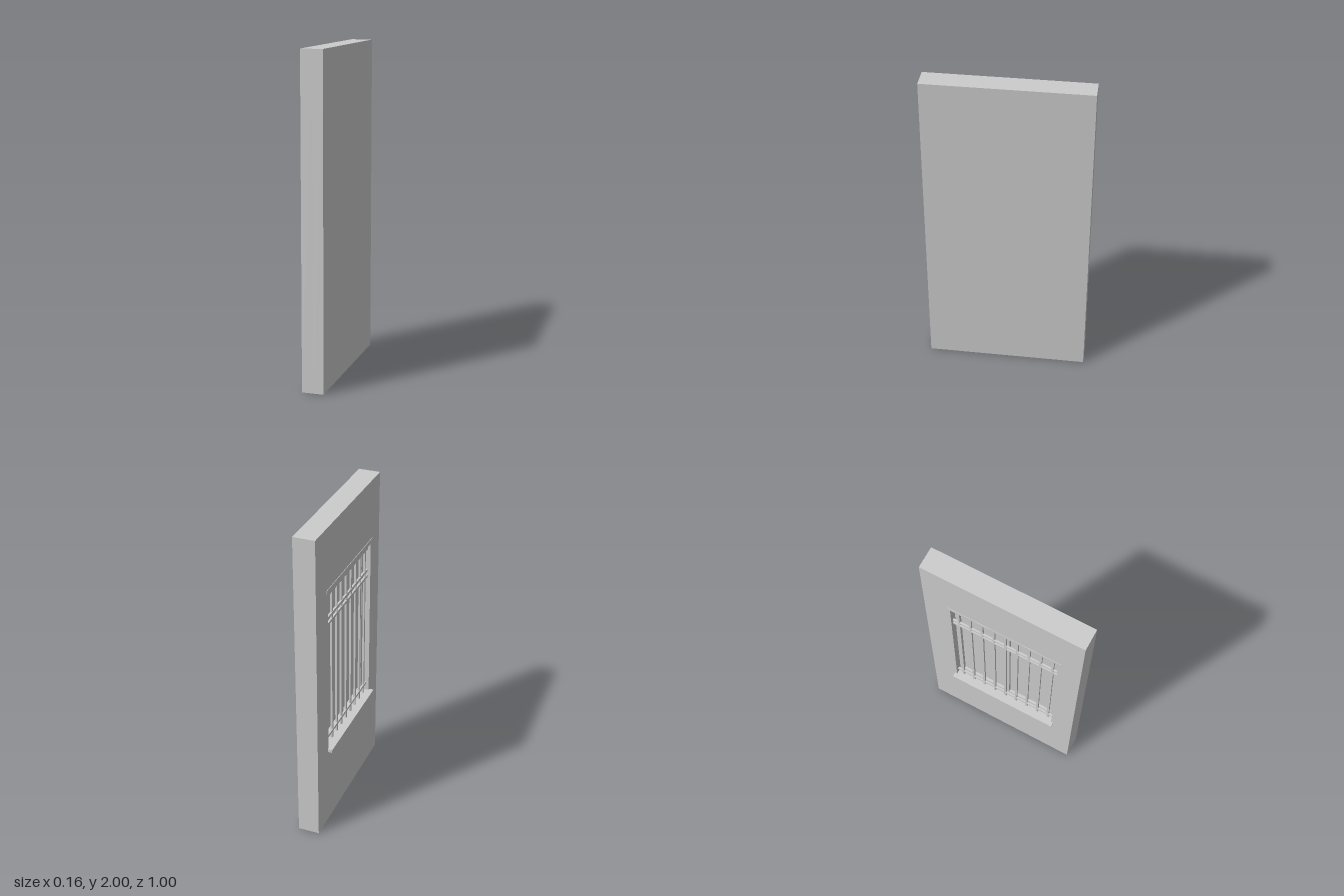
import * as THREE from 'three';

const material = new THREE.MeshStandardMaterial({ color: 0xcccccc });

// Wall slab and window opening limits
const FACE = -0.053, BACK = 0.08, NICHE = 0.02;
const Z0 = -0.33, Z1 = 0.357, Y0 = 0.53, Y1 = 1.59;
const MID = (Z0 + Z1) / 2, SPAN = Z1 - Z0;

// Box given by its lower and upper limits on each axis
function block(parent, name, [x0, x1], [y0, y1], [z0, z1]) {
  const mesh = new THREE.Mesh(new THREE.BoxGeometry(x1 - x0, y1 - y0, z1 - z0), material);
  mesh.position.set((x0 + x1) / 2, (y0 + y1) / 2, (z0 + z1) / 2);
  mesh.name = name;
  parent.add(mesh);
  return mesh;
}

function rectangle(path, u0, v0, u1, v1) {
  return path.moveTo(u0, v0).lineTo(u1, v0).lineTo(u1, v1).lineTo(u0, v1).closePath();
}

// Rectangular plate with holes, lying in the z/y plane from x0 (inner) to x1 (outer)
function piercedPlate(parent, name, x0, x1, outer, holes) {
  const shape = rectangle(new THREE.Shape(), ...outer);
  for (const h of holes) shape.holes.push(rectangle(new THREE.Path(), ...h));
  const geometry = new THREE.ExtrudeGeometry(shape, { depth: x0 - x1, bevelEnabled: false });
  geometry.rotateY(-Math.PI / 2);
  const mesh = new THREE.Mesh(geometry, material);
  mesh.position.x = x0;
  mesh.name = name;
  parent.add(mesh);
}

export function createModel() {
  const model = new THREE.Group();
  model.name = 'wallWithBarredWindow';

  // Wall: pierced outer layer on a solid backing
  const wall = new THREE.Group();
  wall.name = 'wall';
  piercedPlate(wall, 'outerWall', NICHE, FACE, [-0.5, 0, 0.5, 2], [[Z0, Y0, Z1, Y1]]);
  block(wall, 'wallBacking', [NICHE, BACK], [0, 2], [-0.5, 0.5]);
  model.add(wall);

  // Sill and thin lintel strip
  block(model, 'sill', [-0.082, FACE], [0.515, 0.535], [-0.345, 0.372]);
  block(model, 'sillTop', [FACE, NICHE], [0.52, 0.535], [Z0, Z1]);
  block(model, 'lintel', [-0.056, FACE], [1.6, 1.622], [-0.345, 0.378]);

  // Two-sash window frame with glass
  const frame = 0.03;
  piercedPlate(model, 'windowFrame', 0.018, -0.008, [Z0, 0.535, Z1, Y1], [
    [Z0 + frame, 0.535 + frame, MID - frame / 2, Y1 - frame],
    [MID + frame / 2, 0.535 + frame, Z1 - frame, Y1 - frame],
  ]);
  block(model, 'glass', [0.008, 0.012], [0.55, 1.575], [Z0 + 0.01, Z1 - 0.01]);

  // Security grille: flat rails and upright bars
  const grille = new THREE.Group();
  grille.name = 'grille';
  for (const y of [0.59, 1.37, 1.41, 1.56]) {
    block(grille, 'grilleRail', [-0.036, -0.024], [y - 0.008, y + 0.008], [Z0, Z1]);
  }
  const bars = 9;
  for (let i = 0; i < bars; i++) {
    const z = Z0 + SPAN * (i + 0.5) / bars;
    block(grille, 'grilleBar', [-0.034, -0.022], [0.535, Y1], [z - 0.007, z + 0.007]);
  }
  model.add(grille);

  return model;
}
